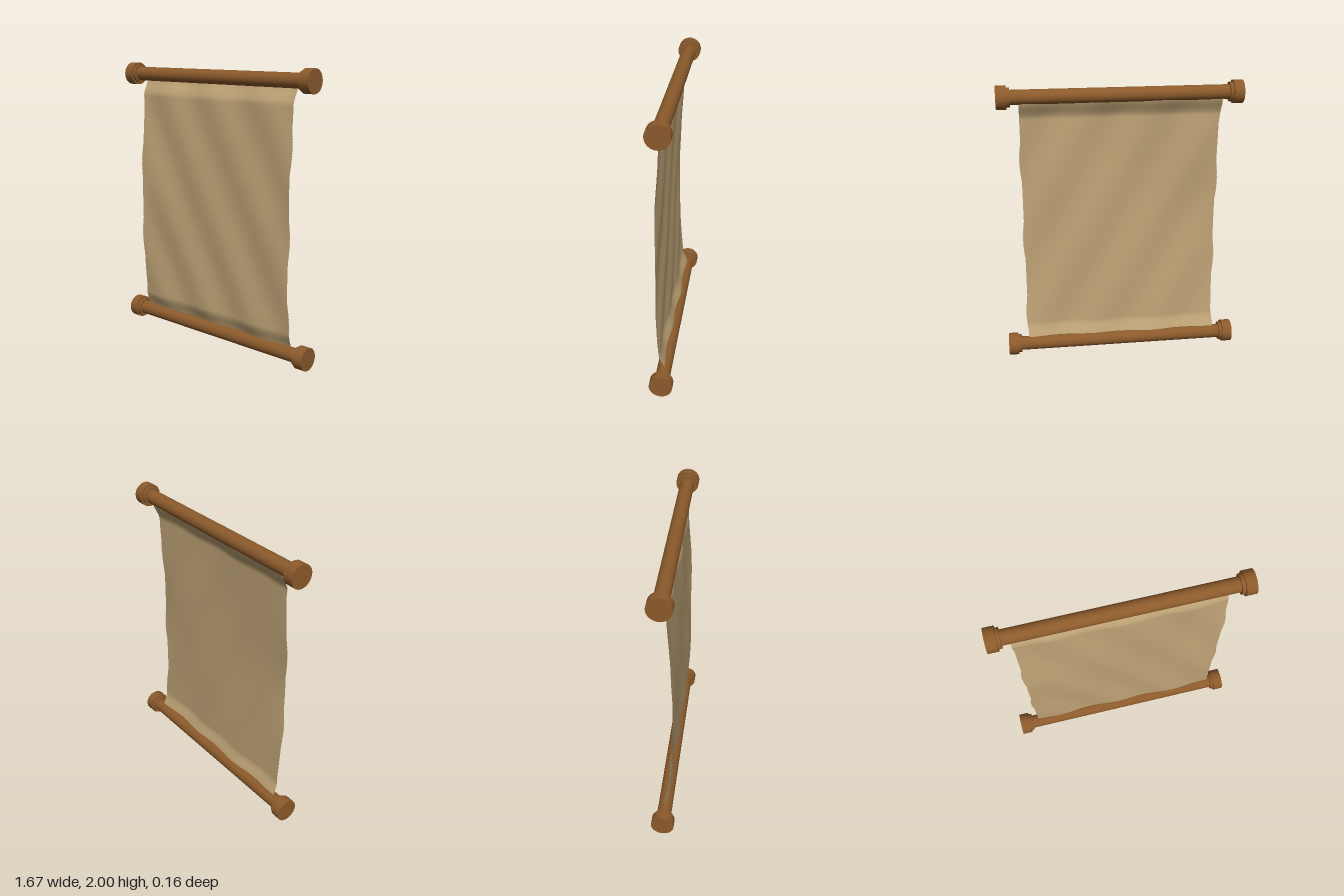
import * as THREE from 'three';

const wood = new THREE.MeshStandardMaterial({ color: 0x8b5a2b });
wood.name = 'wood';
const parchment = new THREE.MeshStandardMaterial({ color: 0xbfa376, side: THREE.DoubleSide });
parchment.name = 'parchment';

// Cylinder lying along x
function barrel(name, radius, length, x) {
  const geometry = new THREE.CylinderGeometry(radius, radius, length, 40).rotateZ(Math.PI / 2);
  const mesh = new THREE.Mesh(geometry, wood);
  mesh.name = name;
  mesh.position.x = x;
  return mesh;
}

// Roller with a stepped knob at each end
function roller(name, y) {
  const group = new THREE.Group();
  group.name = name;
  group.add(barrel('rod', 0.05, 1.56, 0));
  for (const side of [-1, 1]) {
    group.add(barrel('collar', 0.066, 0.03, side * 0.757));
    group.add(barrel('knob', 0.08, 0.07, side * 0.8));
  }
  group.position.y = y;
  return group;
}

// Depth of the rippled sheet, drawn back into the rollers at both ends
function sheetDepth(x, y) {
  const v = (y - 0.1) / 1.8;
  const belly = 0.028 + 0.012 * Math.sin(Math.PI * v);
  const folds = 0.007 * Math.sin(14 * (x + 0.54 * y) + 0.6) + 0.004 * Math.sin(5 * x - 3 * y);
  const curl = (x < 0 ? 0.026 : 0.01) * Math.abs(x / 0.69) ** 4 * Math.exp(-(((y - 1) / 0.3) ** 2));
  const top = THREE.MathUtils.smoothstep(y, 1.76, 1.9);
  const bottom = 1 - THREE.MathUtils.smoothstep(y, 0.1, 0.23);
  return belly + folds + curl - 0.05 * top - 0.035 * bottom;
}

// Sheet with finely frayed, gently bulging side edges
function sheet() {
  const columns = 72, rows = 200;
  const geometry = new THREE.PlaneGeometry(1.374, 1.8, columns, rows).translate(0, 1, 0);
  const p = geometry.attributes.position;
  for (let i = 0; i < p.count; i++) {
    let x = p.getX(i);
    const y = p.getY(i), column = i % (columns + 1), row = Math.floor(i / (columns + 1));
    if (column === 0 || column === columns) {
      const side = Math.sign(x);
      const peak = side < 0 ? 1.27 : 1.46;
      const bulge = Math.max(0, Math.cos((y - peak) * 2 * Math.PI / 0.58));
      x += side * bulge * (row % 2 ? 0.015 : 0.008);
    }
    p.setXYZ(i, x, y, sheetDepth(x, y));
  }
  geometry.computeVertexNormals();
  const mesh = new THREE.Mesh(geometry, parchment);
  mesh.name = 'parchmentSheet';
  return mesh;
}

export function createModel() {
  const model = new THREE.Group();
  model.name = 'scroll';
  model.add(roller('topRoller', 1.92), roller('bottomRoller', 0.08), sheet());
  return model;
}
